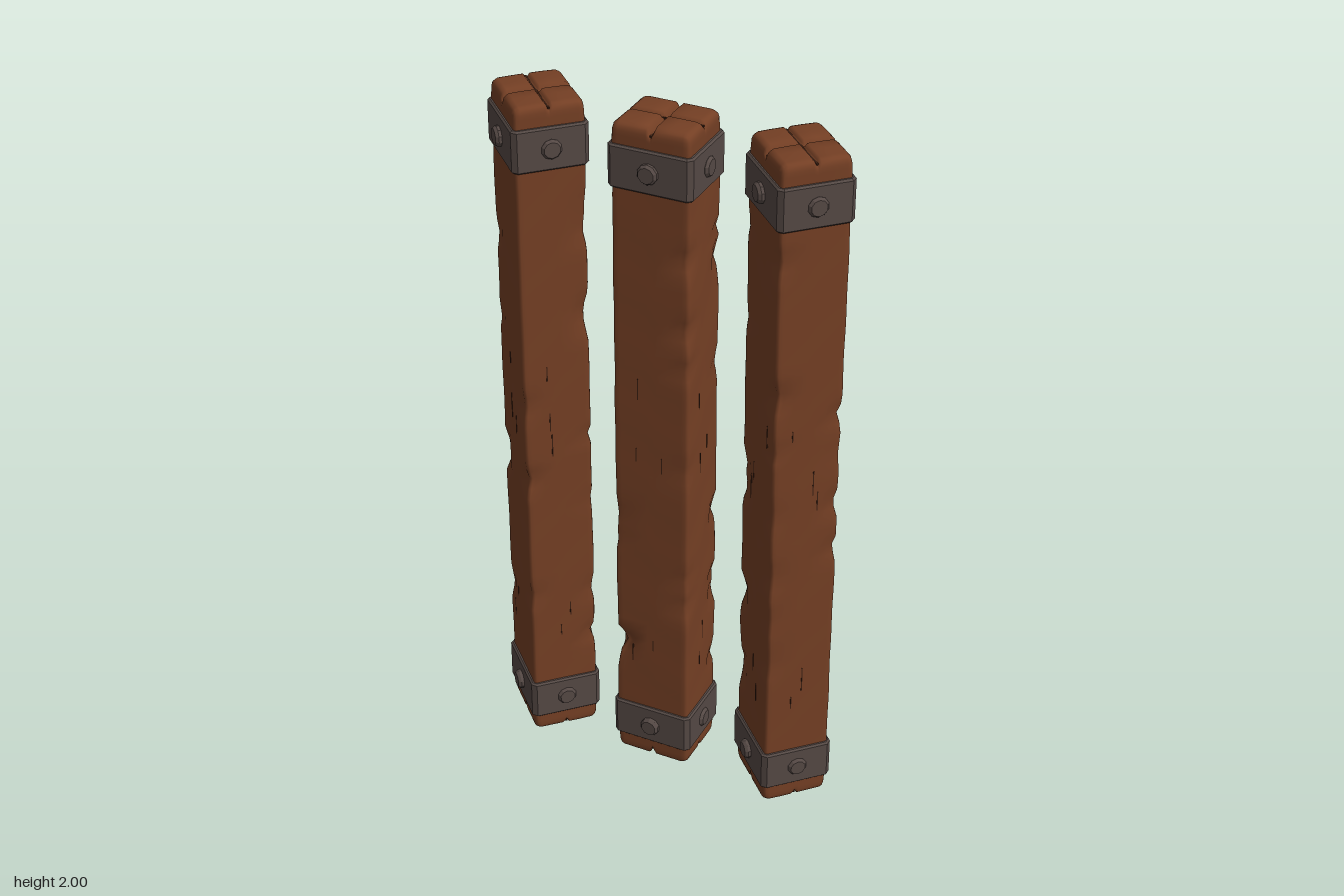
import * as THREE from 'three';
import { mergeVertices } from 'three/addons/utils/BufferGeometryUtils.js';

const HX = 0.109, HZ = 0.094;            // timber half sizes
const BX = 0.119, BZ = 0.103;            // iron band half sizes

const material = (name, color) => {
  const m = new THREE.MeshStandardMaterial({ color });
  m.name = name;
  return m;
};

// Small seeded generator for wear
function seeded(seed) {
  let s = seed;
  return () => (s = (s * 16807) % 2147483647) / 2147483647;
}

// Grid lines gathered around the centre groove and the worn edges
const half = [0.045, 0.11, 0.45, 0.82, 0.92, 1];
const across = [...half.map(v => -v).reverse(), 0, ...half];
const endLevels = [0, 0.01, 0.022, 0.035];
const ROWS = 64;
const levels = [...endLevels];
for (let i = 0; i <= ROWS; i++) levels.push(0.06 + 1.88 * i / ROWS);
levels.push(...endLevels.map(v => 2 - v).reverse());

function timberGeometry(seed) {
  const n = across.length - 1, m = levels.length - 1;
  const geo = new THREE.BoxGeometry(1, 1, 1, n, m, n);
  const pos = geo.attributes.position, rand = seeded(seed);
  // Chips knocked out of the four long edges
  const chips = Array.from({ length: 26 }, () => ({
    sx: rand() < 0.5 ? -1 : 1, sz: rand() < 0.5 ? -1 : 1,
    y: 0.25 + rand() * 1.5, size: 0.025 + rand() * 0.05, depth: 0.004 + rand() * 0.008,
  }));
  const phase = rand() * 6;
  const groove = u => Math.max(0, 1 - Math.abs(u) / 0.1);
  const p = new THREE.Vector3(), q = new THREE.Vector3();
  for (let i = 0; i < pos.count; i++) {
    const u = across[Math.round((pos.getX(i) + 0.5) * n)];
    const w = across[Math.round((pos.getZ(i) + 0.5) * n)];
    const y = levels[Math.round((pos.getY(i) + 0.5) * m)];
    const end = Math.max(0, (Math.abs(y - 1) - 0.94) / 0.06);
    // Rounded corners, softer at the two ends
    const r = 0.008 + 0.016 * end;
    p.set(u * HX, y - 1, w * HZ);
    q.set(THREE.MathUtils.clamp(p.x, r - HX, HX - r),
      THREE.MathUtils.clamp(p.y, r - 1, 1 - r),
      THREE.MathUtils.clamp(p.z, r - HZ, HZ - r));
    const d = p.clone().sub(q);
    if (d.length() > r) p.copy(q).addScaledVector(d.normalize(), r);
    // Split grooves in the end grain
    p.y -= Math.sign(p.y) * end * Math.max(0.026 * groove(u), 0.014 * groove(w));
    // Chipped edges and a slight hand-hewn waviness
    if (Math.abs(u) > 0.8 && Math.abs(w) > 0.8) {
      for (const c of chips) {
        if (c.sx * u < 0 || c.sz * w < 0) continue;
        const k = c.depth * Math.max(0, 1 - Math.abs(y - c.y) / c.size);
        p.x -= c.sx * k;
        p.z -= c.sz * k;
      }
    }
    const wave = 1 + 0.008 * Math.sin(y * 9 + phase + u * 2) * Math.sin(y * 23 + w * 3);
    pos.setXYZ(i, p.x * wave, p.y + 1, p.z * wave);
  }
  geo.deleteAttribute('uv');
  geo.deleteAttribute('normal');
  const merged = mergeVertices(geo, 1e-5);
  merged.computeVertexNormals();
  return merged;
}

// Square iron hoop with cut corners and a bevelled rim
function bandGeometry() {
  const b = 0.005, c = 0.01, x = BX - b, z = BZ - b;
  const shape = new THREE.Shape([
    [x - c, -z], [x, c - z], [x, z - c], [x - c, z],
    [c - x, z], [-x, z - c], [-x, c - z], [c - x, -z],
  ].map(a => new THREE.Vector2(...a)));
  const ix = HX - 0.008, iz = HZ - 0.008;
  shape.holes.push(new THREE.Path([[-ix, -iz], [-ix, iz], [ix, iz], [ix, -iz]]
    .map(a => new THREE.Vector2(...a))));
  return new THREE.ExtrudeGeometry(shape, {
    depth: 0.11, bevelEnabled: true, bevelThickness: b, bevelSize: b, bevelSegments: 1,
  }).translate(0, 0, -0.055).rotateX(-Math.PI / 2);
}

// Faceted rivet head, facing +z
function rivetGeometry() {
  return new THREE.LatheGeometry([[0.028, -0.004], [0.028, 0.008], [0.022, 0.016], [0, 0.016]]
    .map(a => new THREE.Vector2(...a)), 10).rotateX(Math.PI / 2);
}

export function createModel() {
  const wood = material('brown wood', 0x743f24);
  const crackWood = material('dark crack', 0x3a1f12);
  const iron = material('dark iron', 0x544844);
  iron.flatShading = true;

  const band = bandGeometry(), rivet = rivetGeometry();
  const crack = new THREE.BoxGeometry(1, 1, 0.004);
  const model = new THREE.Group();
  model.name = 'threePosts';

  const add = (parent, name, geo, mat, x = 0, y = 0, z = 0) => {
    const mesh = new THREE.Mesh(geo, mat);
    mesh.name = name;
    mesh.position.set(x, y, z);
    parent.add(mesh);
    return mesh;
  };

  const post = (name, x, turn, seed) => {
    const group = new THREE.Group();
    group.name = name;
    group.position.x = x;
    group.rotation.y = turn;
    model.add(group);
    add(group, 'timber', timberGeometry(seed), wood);

    // Dark lines lying in the end grooves
    for (const y of [0.0255, 1.9745])
      add(group, 'endGroove', new THREE.BoxGeometry(0.006, 0.004, HZ * 1.9), crackWood, 0, y, 0);
    for (const y of [0.0135, 1.9865])
      add(group, 'crossGroove', new THREE.BoxGeometry(HX * 1.9, 0.004, 0.005), crackWood, 0, y, 0);

    // Iron bands with one rivet on each side
    for (const y of [0.12, 1.88]) {
      add(group, 'band', band, iron, 0, y, 0);
      for (let k = 0; k < 4; k++) {
        const a = k * Math.PI / 2, out = k % 2 ? BX - 0.007 : BZ;
        add(group, 'rivet', rivet, iron, Math.sin(a) * out, y, Math.cos(a) * out).rotation.y = a;
      }
    }

    // Short grain cracks on each side
    const rand = seeded(seed + 77);
    for (let k = 0; k < 4; k++) {
      const a = k * Math.PI / 2, out = k % 2 ? HX : HZ, side = new THREE.Group();
      side.name = 'grainCracks';
      side.rotation.y = a;
      group.add(side);
      for (const y of [0.32, 0.4, 0.98, 1.03, 1.2]) {
        const line = add(side, 'crack', crack, crackWood, (rand() - 0.5) * 0.13, y + rand() * 0.04, out - 0.001);
        line.scale.set(0.003, 0.03 + rand() * 0.05, 1);
      }
    }
  };

  post('rightPost', -0.365, -Math.PI / 4, 1234);
  post('middlePost', 0, 0, 5678);
  post('leftPost', 0.365, -Math.PI / 4, 91011);
  return model;
}
